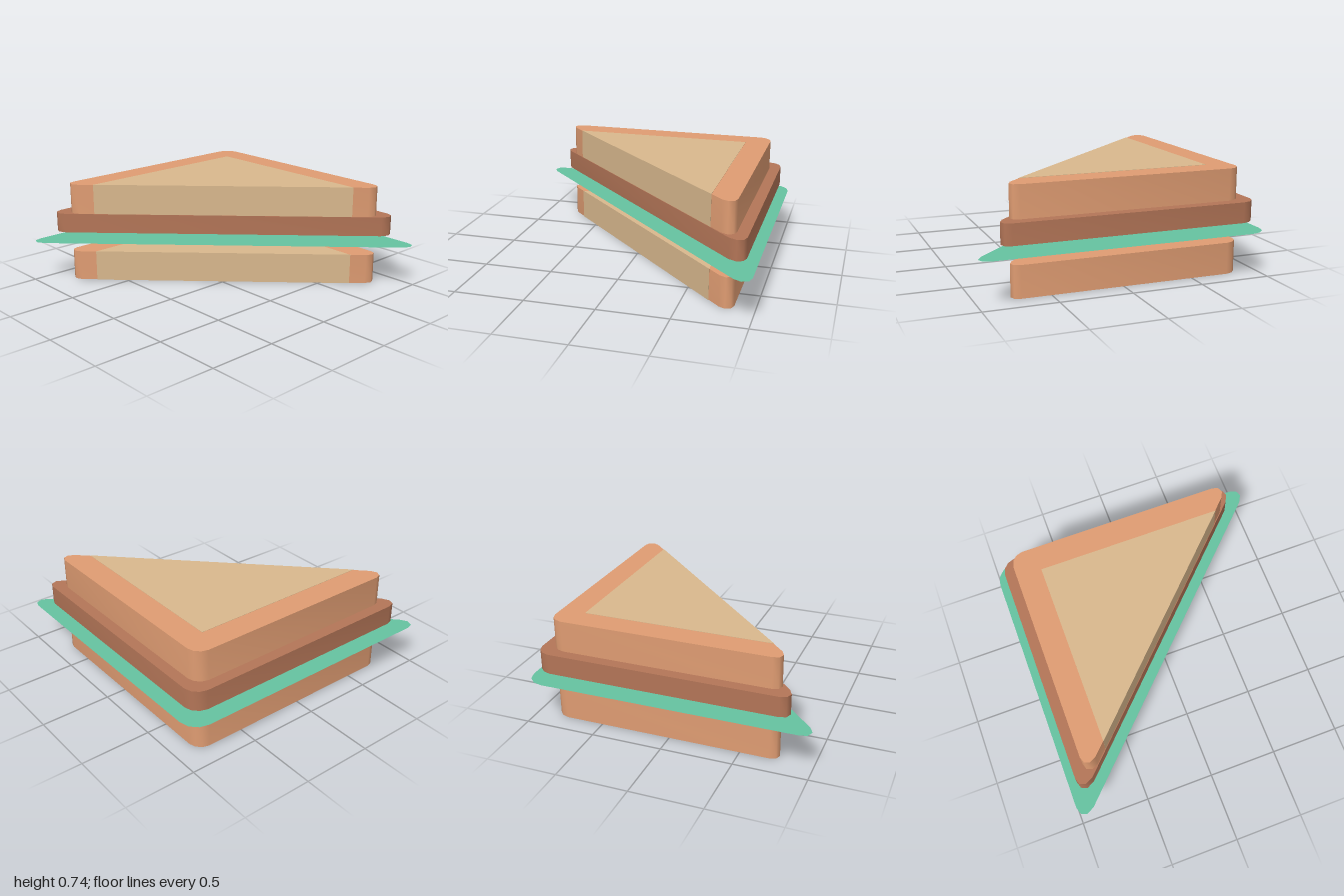
import * as THREE from 'three';
import { toCreasedNormals } from 'three/addons/utils/BufferGeometryUtils.js';

const material = (color) => new THREE.MeshStandardMaterial({ color });
const crustMat = material(0xdf9c72);
const crumbMat = material(0xd9b88d);
const fillingMat = material(0xb37557);
const leafMat = material(0x65c2a0);
leafMat.side = THREE.DoubleSide;

// Half outlines as (x, back): sharp corner, then half of the square corner.
// The other half mirrors across the diagonal by swapping the coordinates.
const breadHalf = [[-0.74, 0.76], [-0.762, 0.805], [-0.747, 0.843], [-0.705, 0.857], [0.765, 0.857], [0.81, 0.843]];
const fillingHalf = [[-0.815, 0.825], [-0.842, 0.88], [-0.825, 0.922], [-0.78, 0.937], [0.835, 0.937], [0.885, 0.921]];
const leafHalf = [[-0.97, 0.885], [-1, 0.94], [-0.982, 0.985], [-0.93, 1], [0.87, 1], [0.935, 0.983]];

function roundedTriangle(half) {
  const mirrored = half.map(([x, b]) => [b, x]).reverse();
  return new THREE.Shape([...half, ...mirrored].map(([x, b]) => new THREE.Vector2(x, b)));
}

// Upright slab with smooth corners and sharp rims
function slab(name, shape, y0, y1, mat) {
  const geo = new THREE.ExtrudeGeometry(shape, { depth: y1 - y0, bevelEnabled: false });
  geo.rotateX(-Math.PI / 2).translate(0, y0, 0);
  const mesh = new THREE.Mesh(toCreasedNormals(geo, 0.95), mat);
  mesh.name = name;
  return mesh;
}

// Bread slice: crust with the crumb showing on top, below and on the cut face
function breadSlice(name, y) {
  const slice = new THREE.Group();
  slice.name = name;
  const crumb = new THREE.Shape([
    new THREE.Vector2(-0.66, 0.676),
    new THREE.Vector2(0.676, 0.676),
    new THREE.Vector2(0.676, -0.66),
  ]);
  slice.add(
    slab('crust', roundedTriangle(breadHalf), 0.002, 0.223, crustMat),
    slab('crumb', crumb, 0, 0.225, crumbMat)
  );
  slice.position.y = y;
  return slice;
}

export function createModel() {
  const sandwich = new THREE.Group();
  sandwich.name = 'sandwich';

  // Thin leaf floating between the bottom slice and the filling
  const leaf = new THREE.Mesh(new THREE.ShapeGeometry(roundedTriangle(leafHalf)), leafMat);
  leaf.name = 'lettuce';
  leaf.rotation.x = -Math.PI / 2;
  leaf.position.y = 0.31;

  sandwich.add(
    breadSlice('bottomBread', 0),
    leaf,
    slab('filling', roundedTriangle(fillingHalf), 0.373, 0.516, fillingMat),
    breadSlice('topBread', 0.514)
  );
  return sandwich;
}
